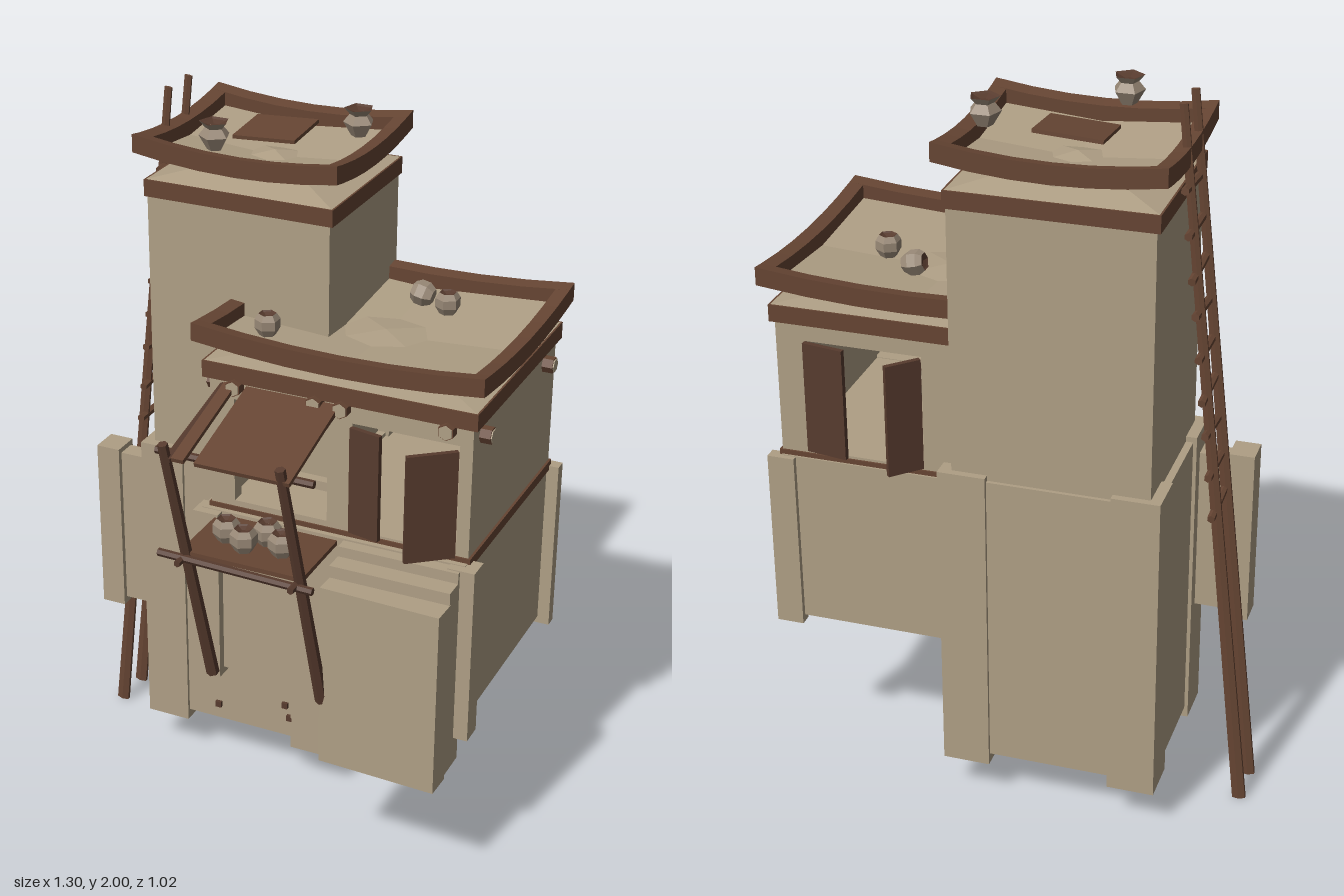
import * as THREE from 'three';

const material = (name, color, side = THREE.FrontSide) => {
  const m = new THREE.MeshStandardMaterial({ color, side });
  m.name = name;
  return m;
};

export function createModel() {
  const model = new THREE.Group();
  const clay = material('mud plaster', 0xaf9f85, THREE.DoubleSide);
  const wood = material('wood', 0x664533);
  const dark = material('dark wood', 0x573b2e);
  const pottery = material('pottery', 0x9a8a78);

  // Adds a faceted mesh
  function add(name, geometry, mat, parent = model) {
    const g = geometry.index ? geometry.toNonIndexed() : geometry;
    g.computeVertexNormals();
    const mesh = new THREE.Mesh(g, mat);
    mesh.name = name;
    parent.add(mesh);
    return mesh;
  }

  // Box geometry from its limits on each axis
  function boxGeometry([x0, x1], [y0, y1], [z0, z1], segX = 1, segZ = 1) {
    const g = new THREE.BoxGeometry(x1 - x0, y1 - y0, z1 - z0, segX, 1, segZ);
    return g.translate((x0 + x1) / 2, (y0 + y1) / 2, (z0 + z1) / 2);
  }
  const box = (name, mat, x, y, z, segX, segZ) => add(name, boxGeometry(x, y, z, segX, segZ), mat);

  // Plaster block that is hollow and open underneath
  function shell(name, x, y, z) {
    const g = boxGeometry(x, y, z);
    g.setIndex([...g.index.array].filter((_, i) => i < 18 || i >= 24));
    return add(name, g, clay);
  }

  // Round pole between two points
  function rod(name, mat, a, b, r0, r1 = r0, sides = 6) {
    const p = new THREE.Vector3(...a), q = new THREE.Vector3(...b);
    const d = q.clone().sub(p);
    const mesh = add(name, new THREE.CylinderGeometry(r1, r0, d.length(), sides), mat);
    mesh.position.copy(p).add(q).multiplyScalar(0.5);
    mesh.quaternion.setFromUnitVectors(new THREE.Vector3(0, 1, 0), d.normalize());
    return mesh;
  }

  // Wall in the xy plane with rectangular openings
  function wall(name, [x0, x1], [y0, y1], z, depth, openings) {
    const rect = (P, a, b, c, d) => {
      const p = new P();
      p.moveTo(a, c); p.lineTo(b, c); p.lineTo(b, d); p.lineTo(a, d); p.closePath();
      return p;
    };
    const s = rect(THREE.Shape, x0, x1, y0, y1);
    for (const o of openings) s.holes.push(rect(THREE.Path, ...o));
    const g = new THREE.ExtrudeGeometry(s, { depth, bevelEnabled: false });
    g.translate(0, 0, z);
    add(name, g, clay);
  }

  // Sagging roof with a raised wooden rim, over a low pyramid cap and band
  function roof(name, [x0, x1], [z0, z1], rimY, bandY) {
    const cx = (x0 + x1) / 2, cz = (z0 + z1) / 2, w = 0.04, sag = 0.025;
    const warp = (mesh, power) => {
      const p = mesh.geometry.attributes.position;
      for (let i = 0; i < p.count; i++) {
        const u = Math.abs(p.getX(i) - cx) / (x1 - cx), v = Math.abs(p.getZ(i) - cz) / (z1 - cz);
        p.setY(i, p.getY(i) + sag * (u ** power + v ** power - 1));
      }
      mesh.geometry.computeVertexNormals();
    };
    const y = [rimY, rimY + 0.05];
    for (const z of [[z0, z0 + w], [z1 - w, z1]]) warp(box(name + 'Rim', wood, [x0, x1], y, z, 6, 1), 2);
    for (const x of [[x0, x0 + w], [x1 - w, x1]]) warp(box(name + 'Rim', wood, x, y, [z0 + w, z1 - w], 1, 6), 2);
    warp(box(name + 'Floor', clay, [x0 + w, x1 - w], [rimY - 0.014, rimY + 0.006], [z0 + w, z1 - w], 2, 2), 1);
    box(name + 'Band', wood, [x0 + 0.02, x1 - 0.02], [bandY, bandY + 0.047], [z0 + 0.02, z1 - 0.02]);
    const cap = new THREE.ConeGeometry(Math.SQRT1_2, 1, 4, 1);
    cap.rotateY(Math.PI / 4);
    const h = rimY - bandY - 0.048;
    cap.scale(x1 - x0 - 0.05, h, z1 - z0 - 0.05);
    cap.translate(cx, bandY + 0.047 + h / 2, cz);
    add(name + 'Cap', cap, clay);
  }

  // Tower: upper shaft, heavy base, corner piers
  shell('towerShaft', [-0.41, 0.122], [0.9, 1.75], [-0.465, -0.008]);
  shell('towerBase', [-0.43, 0.145], [0.15, 1.0], [-0.475, 0.01]);
  for (const x of [[-0.44, -0.31], [0.025, 0.155]])
    for (const z of [[-0.485, -0.36], [-0.105, 0.02]]) shell('towerPier', x, [0.12, 1.015], z);
  roof('towerRoof', [-0.44, 0.15], [-0.49, 0.013], 1.84, 1.74);

  // Peg ends in the tower base
  for (const [x, y, z] of [[-0.21, 0.2, 0.011], [0.005, 0.255, 0.011], [0.02, 0.215, 0.011],
    [0.146, 0.215, -0.14], [0.146, 0.21, -0.35]]) {
    const peg = add('peg', new THREE.BoxGeometry(0.018, 0.018, 0.018), dark);
    peg.position.set(x, y, z);
  }

  // House: base, corner piers, trim, floor and walls with openings
  shell('houseBase', [-0.15, 0.61], [0.475, 0.97], [-0.44, 0.21]);
  for (const [x, z] of [[[-0.165, -0.09], [0.17, 0.235]], [[0.57, 0.645], [0.17, 0.235]], [[0.57, 0.645], [-0.455, -0.42]]])
    shell('housePier', x, [0.455, 0.968], z);
  box('houseTrim', wood, [-0.135, 0.617], [0.955, 0.983], [-0.435, 0.195]);
  box('houseFloor', clay, [-0.128, 0.608], [0.98, 0.988], [-0.428, 0.188]);
  wall('frontWall', [-0.13, 0.61], [0.98, 1.36], 0.15, 0.04,
    [[-0.06, 0.21, 1.0, 1.3], [0.28, 0.575, 0.99, 1.3]]);
  wall('backWall', [-0.13, 0.61], [0.98, 1.36], -0.43, 0.04, [[0.21, 0.53, 0.99, 1.31]]);
  box('sideWall', clay, [0.57, 0.61], [0.98, 1.36], [-0.39, 0.15]);
  box('sideWall', clay, [-0.13, -0.09], [0.98, 1.36], [-0.39, 0.15]);
  roof('houseRoof', [-0.165, 0.645], [-0.455, 0.225], 1.437, 1.355);

  // Roof beams with pale cut ends
  for (const z of [0.13, -0.34]) {
    rod('beam', wood, [-0.16, 1.315, z], [0.64, 1.315, z], 0.023);
    rod('beamEnd', clay, [0.64, 1.315, z], [0.643, 1.315, z], 0.019);
    rod('beamEnd', clay, [-0.16, 1.315, z], [-0.163, 1.315, z], 0.019);
  }
  for (const x of [-0.05, 0.18, 0.255, 0.545]) {
    rod('beam', wood, [x, 1.343, -0.42], [x, 1.343, 0.219], 0.023);
    rod('beamEnd', clay, [x, 1.343, 0.219], [x, 1.343, 0.222], 0.02);
  }

  // Door leaves standing ajar: hinge x,z to tip x,z
  for (const [hx, hz, tx, tz, y0, y1] of [
    [0.28, 0.2, 0.37, 0.218, 0.99, 1.295], [0.575, 0.2, 0.468, 0.285, 0.985, 1.29],
    [0.53, -0.438, 0.415, -0.456, 0.995, 1.31], [0.21, -0.44, 0.28, -0.51, 0.995, 1.31]]) {
    const leaf = add('doorLeaf', new THREE.BoxGeometry(Math.hypot(tx - hx, tz - hz), y1 - y0, 0.014), dark);
    leaf.position.set((hx + tx) / 2, (y0 + y1) / 2, (hz + tz) / 2);
    leaf.rotation.y = -Math.atan2(tz - hz, tx - hx);
  }

  // Entrance steps, the lowest set slightly askew
  const lowest = shell('step', [-0.168, 0.168], [0.36, 0.9], [-0.04, 0.035]);
  lowest.position.set(0.437, 0, 0.329);
  lowest.rotation.y = -0.035;
  shell('step', [0.268, 0.605], [0.37, 0.935], [0.245, 0.3]);
  shell('step', [0.268, 0.605], [0.37, 0.965], [0.2, 0.245]);

  // Garden wall stub beside the tower
  shell('stubWall', [-0.525, -0.42], [0.475, 0.95], [-0.065, -0.01]);
  shell('stubPier', [-0.592, -0.522], [0.455, 0.965], [-0.076, 0.005]);

  // Stall: leaning posts, cross bars, awning and counter
  rod('stallPost', dark, [-0.055, 0.545, 0.345], [-0.11, 1.295, 0.492], 0.018, 0.014);
  rod('stallPost', dark, [0.27, 0.545, 0.345], [0.218, 1.295, 0.492], 0.018, 0.014);
  rod('awningBar', dark, [-0.155, 1.25, 0.445], [0.29, 1.247, 0.445], 0.011);
  rod('counterBar', dark, [-0.16, 0.945, 0.44], [0.285, 0.935, 0.44], 0.011);
  for (const x of [-0.09, 0.235]) {
    rod('awningStrut', dark, [x, 1.335, 0.19], [x - 0.01, 1.25, 0.49], 0.01);
    rod('counterStrut', dark, [x, 0.945, 0.19], [x, 0.94, 0.47], 0.01);
  }
  const slope = Math.atan2(0.085, 0.3);
  for (const [x0, x1] of [[-0.02, 0.245], [-0.085, -0.05]]) {
    const panel = add('awning', new THREE.BoxGeometry(x1 - x0, 0.012, 0.312), wood);
    panel.position.set((x0 + x1) / 2, 1.3, 0.345);
    panel.rotation.x = slope;
  }
  box('counter', wood, [-0.1, 0.25], [0.947, 0.96], [0.19, 0.43]);

  // Ladder of flat rails leaning on the tower
  for (const z of [-0.155, -0.27])
    rod('ladderRail', wood, [-0.632, 0.004, z], [-0.418, 1.998, z], 0.021, 0.012).scale.z = 0.5;
  for (let i = 0; i < 9; i++) {
    const y = 0.9 + i * 0.11, x = -0.632 + 0.1077 * y, k = (i % 3 - 1) * 0.008;
    rod('ladderRung', wood, [x + 0.005, y + k, -0.305], [x + 0.005, y - k, -0.122], 0.011);
  }

  // Hatch cover on the tower roof
  const hatch = add('roofHatch', new THREE.BoxGeometry(0.183, 0.01, 0.155), wood);
  hatch.position.set(-0.143, 1.895, -0.242);
  hatch.rotation.set(0.08, 0, 0.06);

  // Clay vessels, hollow at the mouth
  function vessel(name, profile, sides, [x, y, z], scale, tilt = 0) {
    const g = new THREE.Group();
    g.name = name;
    const lathe = p => new THREE.LatheGeometry(p.map(([r, h]) => new THREE.Vector2(r * scale, h * scale)), sides);
    add(name + 'Body', lathe(profile), pottery, g);
    const [r, h] = profile[profile.length - 1];
    add(name + 'Mouth', lathe([[r, h], [r * 0.8, h - 0.1], [r * 0.3, h - 0.25]]), dark, g);
    const base = add(name + 'Inside', new THREE.CircleGeometry(r * 0.32 * scale, sides), dark, g);
    base.rotation.x = -Math.PI / 2;
    base.position.y = (h - 0.25) * scale;
    g.position.set(x, y, z);
    g.rotation.z = tilt;
    model.add(g);
  }
  const vase = [[0, 0], [0.5, 0], [1, 0.85], [0.6, 1.35], [0.95, 1.75]];
  const jar = [[0, 0], [0.65, 0], [1, 0.6], [1, 1.3], [0.7, 1.75]];
  vessel('vase', vase, 5, [0.08, 1.896, -0.285], 0.043);
  vessel('vase', vase, 5, [-0.215, 1.896, -0.025], 0.043);
  vessel('jar', jar, 6, [0.01, 1.475, 0.13], 0.034);
  vessel('jar', jar, 6, [0.38, 1.475, -0.2], 0.034);
  vessel('jar', jar, 6, [0.315, 1.485, -0.26], 0.034, 1.35);
  for (const [x, z] of [[-0.015, 0.33], [0.05, 0.36], [0.09, 0.3], [0.15, 0.34]])
    vessel('counterJar', jar, 6, [x, 0.96, z], 0.037);
  vessel('indoorJar', jar, 6, [0.385, 0.988, -0.05], 0.05);
  return model;
}
